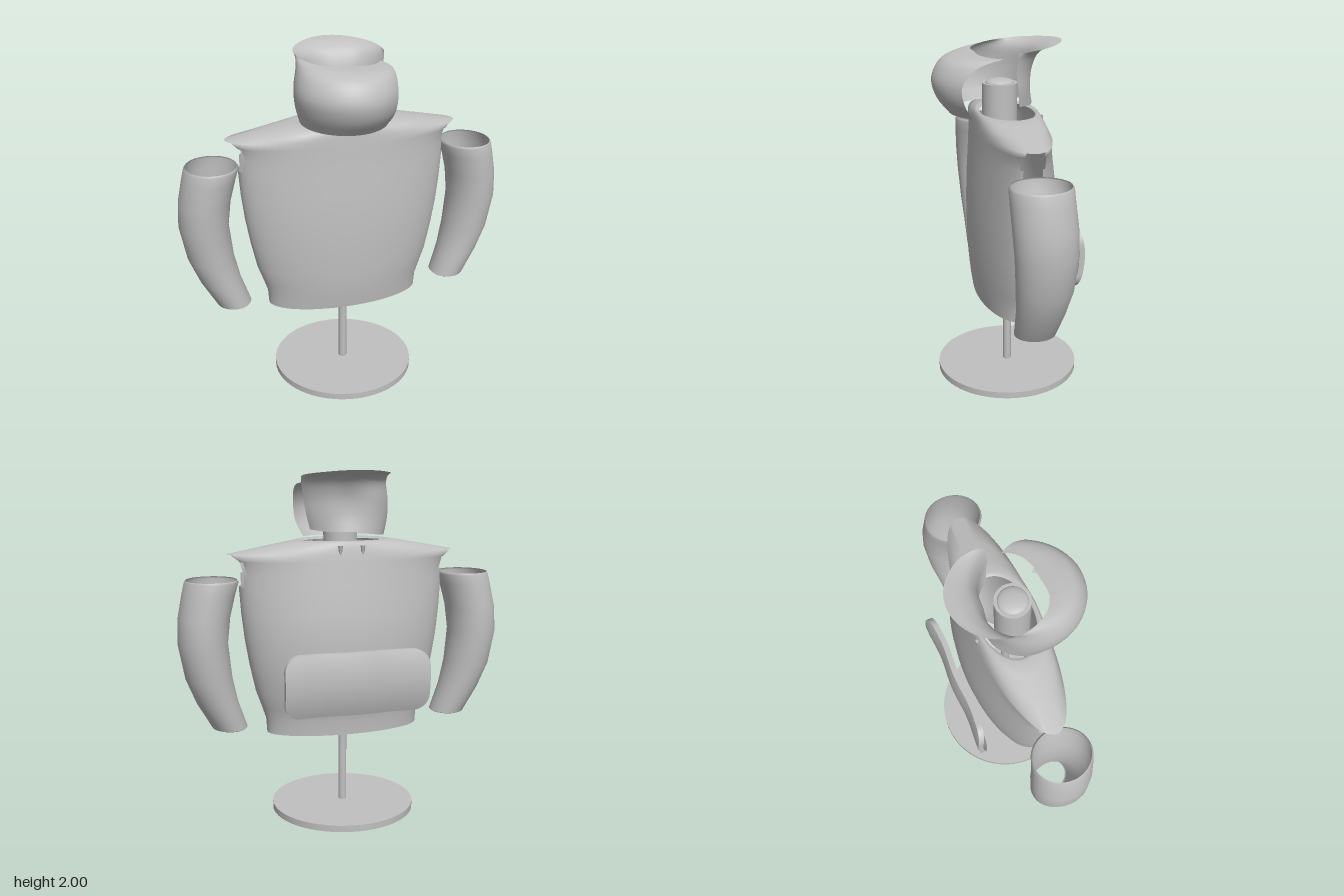
import * as THREE from 'three';
import { mergeVertices } from 'three/addons/utils/BufferGeometryUtils.js';

const grey = new THREE.MeshStandardMaterial({ color: 0xc0c0c0, side: THREE.DoubleSide });
grey.name = 'plainGrey';

function part(name, geometry, x = 0, y = 0, z = 0) {
  const mesh = new THREE.Mesh(geometry, grey);
  mesh.name = name;
  mesh.position.set(x, y, z);
  return mesh;
}

// Smooth surface through a grid of points: point(i, j) gives [x, y, z]
function loft(nu, nv, point, skip = () => false) {
  const pos = [], index = [];
  for (let j = 0; j <= nv; j++) for (let i = 0; i <= nu; i++) pos.push(...point(i, j));
  for (let j = 0; j < nv; j++) for (let i = 0; i < nu; i++) {
    if (skip(i, j)) continue;
    const a = j * (nu + 1) + i, b = a + 1, c = a + nu + 1, d = c + 1;
    index.push(a, c, b, b, c, d);
  }
  let g = new THREE.BufferGeometry();
  g.setAttribute('position', new THREE.Float32BufferAttribute(pos, 3));
  g.setIndex(index);
  g = mergeVertices(g, 1e-5);
  g.computeVertexNormals();
  return g;
}

// Torso shell: rings of [y, half width, front z, back z], open at hem, neck and armholes
function torsoGeometry() {
  const rings = [
    [0.5, 0.455, 0.19, 0.185], [0.58, 0.46, 0.203, 0.19], [0.65, 0.483, 0.21, 0.203],
    [0.75, 0.518, 0.217, 0.235], [0.9, 0.55, 0.22, 0.253], [1.05, 0.575, 0.218, 0.258],
    [1.2, 0.592, 0.21, 0.243], [1.36, 0.603, 0.197, 0.218], [1.43, 0.604, 0.193, 0.207],
    [1.5, 0.625, 0.189, 0.197], [1.54, 0.668, 0.186, 0.19], [1.575, 0.48, 0.184, 0.183],
    [1.6, 0.34, 0.18, 0.175], [1.613, 0.265, 0.168, 0.165], [1.6, 0.245, 0.152, 0.15],
  ];
  const n = 72;
  const armhole = (i, j) => {
    if (j < 7 || j > 9) return false;
    const reach = j === 8 ? 4 : 3;
    const k = (i + 0.5) % (n / 2);
    return Math.min(k, n / 2 - k) < reach;
  };
  return loft(n, rings.length - 1, (i, j) => {
    const a = ((i % n) / n) * Math.PI * 2, [y, w, f, b] = rings[j];
    const s = Math.sin(a);
    return [w * Math.cos(a), y, s > 0 ? s * f : s * b];
  }, armhole);
}

// Bent open sleeve for the +x side; side = -1 mirrors it
function sleeveGeometry(side) {
  // y, centre x, radius x, centre z, radius z
  const rings = [
    [0.545, 0.665, 0.09, 0.003, 0.105], [0.55, 0.67, 0.1, 0.003, 0.113], [0.7, 0.738, 0.117, -0.008, 0.13],
    [0.85, 0.785, 0.131, -0.016, 0.15], [1.05, 0.813, 0.139, -0.017, 0.165],
    [1.2, 0.8, 0.144, -0.01, 0.168], [1.33, 0.77, 0.148, -0.002, 0.166],
    [1.39, 0.753, 0.15, 0, 0.165], [1.402, 0.753, 0.142, 0, 0.157],
  ];
  const n = 48;
  return loft(n, rings.length - 1, (i, j) => {
    const a = ((i % n) / n) * Math.PI * 2, [y, cx, rx, cz, rz] = rings[j];
    return [side * (cx + rx * Math.cos(a * side)), y, cz + rz * Math.sin(a * side)];
  });
}

// Collar wrap, open on +x: bulges in front, flares out behind.
// Each row runs from the front end round -x to the back end as [degrees, radius, y].
function collarGeometry() {
  const rows = [
    [[-45, 0.255, 1.61], [0, 0.275, 1.61], [45, 0.275, 1.615], [90, 0.255, 1.625], [135, 0.225, 1.64], [180, 0.19, 1.66], [220, 0.195, 1.66], [250, 0.215, 1.67]],
    [[-43, 0.315, 1.7], [0, 0.345, 1.7], [45, 0.325, 1.71], [90, 0.278, 1.72], [135, 0.225, 1.74], [180, 0.17, 1.75], [220, 0.195, 1.75], [254, 0.232, 1.76]],
    [[-43, 0.33, 1.8], [0, 0.37, 1.8], [45, 0.345, 1.81], [90, 0.283, 1.82], [135, 0.23, 1.835], [180, 0.172, 1.85], [220, 0.2, 1.85], [258, 0.24, 1.845]],
    [[-55, 0.29, 1.89], [0, 0.32, 1.9], [45, 0.305, 1.905], [90, 0.268, 1.91], [135, 0.24, 1.93], [180, 0.215, 1.945], [220, 0.23, 1.935], [258, 0.25, 1.92]],
    [[-70, 0.25, 1.92], [0, 0.24, 1.932], [45, 0.25, 1.94], [90, 0.255, 1.95], [135, 0.275, 1.97], [180, 0.28, 1.985], [220, 0.27, 1.97], [257, 0.255, 1.95]],
    [[-87, 0.2, 1.93], [0, 0.13, 1.942], [45, 0.18, 1.95], [90, 0.235, 1.965], [135, 0.31, 1.985], [180, 0.355, 2.0], [220, 0.315, 1.985], [256, 0.255, 1.965]],
  ].map(r => new THREE.CatmullRomCurve3(r.map(([d, rad, y]) => new THREE.Vector3(d / 57.2958, rad, y))));
  const nu = 64, nv = 20;
  const columns = [];
  for (let i = 0; i <= nu; i++) {
    columns.push(new THREE.CatmullRomCurve3(rows.map(c => {
      const p = c.getPoint(i / nu);
      return new THREE.Vector3(-0.012 - p.y * Math.sin(p.x), p.z, 0.05 + p.y * Math.cos(p.x));
    })));
  }
  return loft(nu, nv, (i, j) => columns[i].getPoint(j / nv).toArray());
}

// Rounded, curved panel floating behind the back
function panelGeometry() {
  const hw = 0.42, hh = 0.18, r = 0.09;
  const g = new THREE.BoxGeometry(hw * 2, hh * 2, 0.032, 56, 24, 1);
  const p = g.attributes.position;
  for (let i = 0; i < p.count; i++) {
    let x = p.getX(i), y = p.getY(i);
    const dx = Math.abs(x) - (hw - r), dy = Math.abs(y) - (hh - r);
    if (dx > 0 && dy > 0) {
      const k = Math.max(dx, dy) / Math.hypot(dx, dy);
      x = Math.sign(x) * (hw - r + dx * k);
      y = Math.sign(y) * (hh - r + dy * k);
    }
    const bend = 0.032 * (y / hh) ** 2 - 0.008 * (y / hh) + 0.012 * Math.sin(Math.PI * Math.min(1, Math.abs(x) / hw)) ** 2;
    p.setXYZ(i, x, y, p.getZ(i) + bend);
  }
  g.computeVertexNormals();
  return g;
}

export function createModel() {
  const model = new THREE.Group();
  model.name = 'jacketOnStand';
  const cx = -0.006;

  // Stand
  model.add(part('standBase', new THREE.CylinderGeometry(0.42, 0.42, 0.038, 72), cx, 0.019, 0));
  model.add(part('standPole', new THREE.CylinderGeometry(0.024, 0.024, 1.43, 24), cx, 0.745, 0));
  model.add(part('neckPost', new THREE.CylinderGeometry(0.098, 0.098, 0.33, 40), cx, 1.605, 0.042));
  const cap = part('neckCap', new THREE.SphereGeometry(0.08, 32, 10, 0, Math.PI * 2, 0, Math.PI / 2), cx, 1.77, 0.042);
  cap.scale.y = 0.3;
  model.add(cap);

  // Clothing
  model.add(part('torso', torsoGeometry(), cx, 0, 0));
  model.add(part('leftSleeve', sleeveGeometry(1), cx / 2, 0, 0));
  model.add(part('rightSleeve', sleeveGeometry(-1), cx / 2, 0, 0));
  model.add(part('collar', collarGeometry()));
  model.add(part('backPanel', panelGeometry(), cx, 0.83, -0.332));

  // Small loops below the neck at the back
  for (const side of [-1, 1]) {
    const loop = part(side > 0 ? 'leftBackLoop' : 'rightBackLoop',
      new THREE.CylinderGeometry(0.014, 0.007, 0.055, 4, 1), cx + side * 0.065, 1.56, -0.186);
    loop.scale.z = 0.6;
    model.add(loop);
  }
  return model;
}
